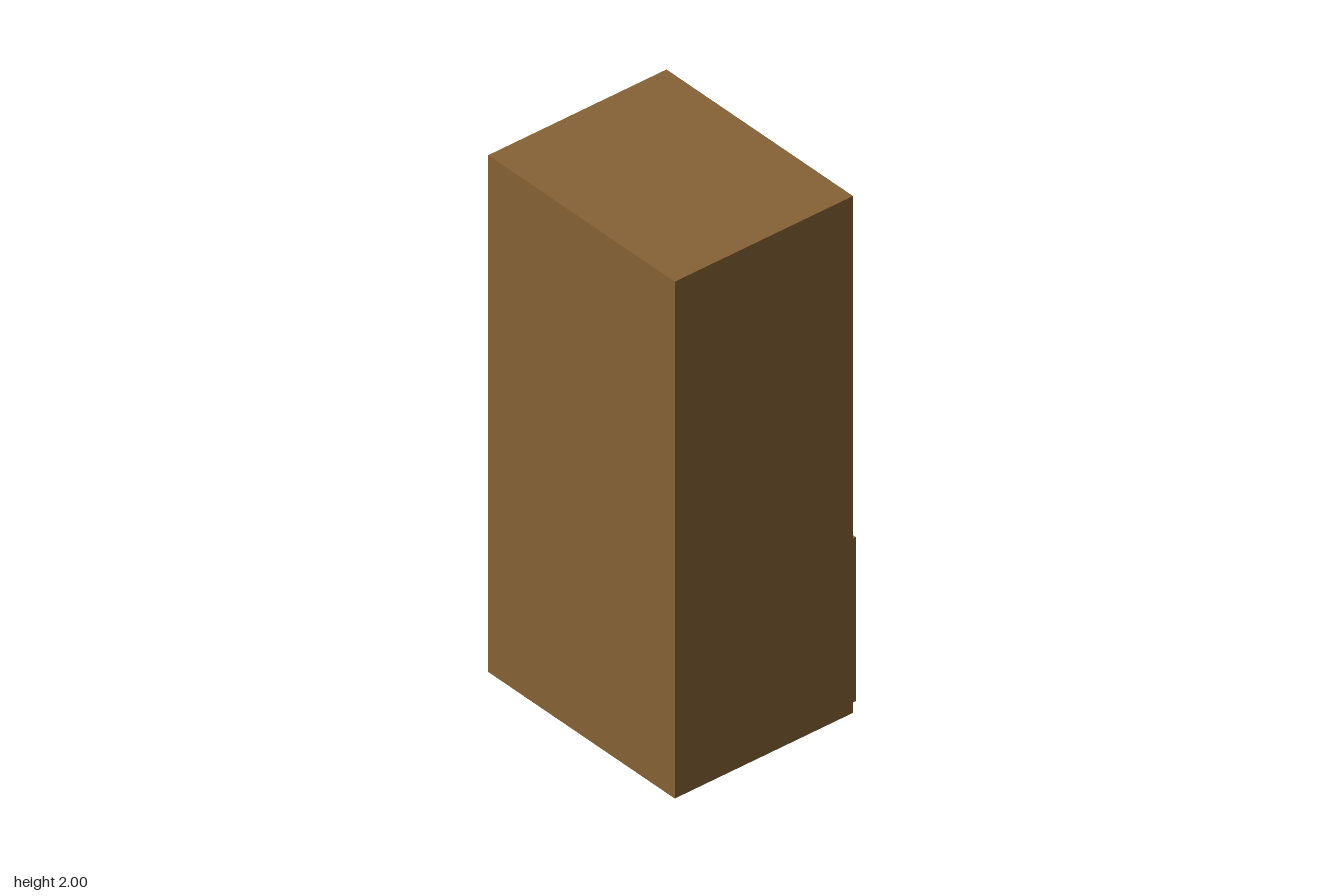
import * as THREE from 'three';

const material = (name, color) => {
  const m = new THREE.MeshStandardMaterial({ color });
  m.name = name;
  return m;
};

// Box given by its lower and upper limits on each axis
function slab(name, mat, [x0, x1], [y0, y1], [z0, z1]) {
  const mesh = new THREE.Mesh(new THREE.BoxGeometry(x1 - x0, y1 - y0, z1 - z0), mat);
  mesh.position.set((x0 + x1) / 2, (y0 + y1) / 2, (z0 + z1) / 2);
  mesh.name = name;
  return mesh;
}

export function createModel() {
  const wood = material('wood', 0x866236);
  const paper = material('paper', 0x93866a);
  const red = material('red cover', 0x973c3c);
  const green = material('green cover', 0x0c5f11);
  const purple = material('purple cover', 0x700c70);

  const model = new THREE.Group();
  model.name = 'bookcase';

  // Carcass, open towards +x
  const back = -0.385, front = 0.355, w = 0.46, t = 0.022;
  const inX = [back + t, front], inZ = [-w + t, w - t];
  model.add(
    slab('backPanel', wood, [back, back + t], [0, 2], [-w, w]),
    slab('sidePanel', wood, inX, [0, 2], [w - t, w]),
    slab('sidePanel', wood, inX, [0, 2], [-w, -w + t]),
    slab('topPanel', wood, inX, [1.985, 2], inZ),
    slab('bottomPanel', wood, inX, [0, 0.02], inZ),
    slab('lowerShelf', wood, inX, [0.655, 0.685], inZ),
    slab('upperShelf', wood, inX, [1.32, 1.35], inZ),
    slab('door', wood, [front, 0.385], [0.02, 0.655], [-0.437, 0.438])
  );

  // Book centred on its own origin; the spine faces out (+x) or in
  const depth = 0.4, bookFront = 0.36;
  function book(cover, width, height, board, spineOut) {
    const g = new THREE.Group();
    g.name = 'book';
    const d = depth / 2, h = height / 2, b = width / 2, inset = 0.01;
    const inner = [-b + board, b - board];
    const spineX = spineOut ? [d - board, d] : [-d, -d + board];
    const pageX = spineOut ? [-d + inset, d - board] : [-d + board, d - inset];
    g.add(
      slab('cover', cover, [-d, d], [-h, h], [b - board, b]),
      slab('cover', cover, [-d, d], [-h, h], [-b, -b + board]),
      slab('spine', cover, spineX, [-h, h], inner),
      slab('pages', paper, pageX, [-h + inset, h - inset], inner)
    );
    return g;
  }

  // Places on a shelf: z, centre height, lean, width, height, board thickness
  const places = [
    [0.371, 0.248, 0, 0.117, 0.495, 0.025],
    [0.254, 0.248, 0, 0.116, 0.495, 0.025],
    [0.139, 0.248, 0, 0.116, 0.495, 0.025],
    [0.0105, 0.191, 0.097, 0.117, 0.384, 0.02],
    [-0.119, 0.191, 0.193, 0.1, 0.373, 0.019],
  ];

  // Each row lists cover colour and whether the spine shows
  const rows = [
    { y: 1.335, books: [[red, false], [green, true], [purple, false], [green, true], [red, false]] },
    { y: 0.673, books: [[purple, false], [green, false], [red, true], [red, true], [purple, false]] },
  ];
  for (const row of rows) {
    row.books.forEach(([cover, spineOut], i) => {
      const [z, y, lean, width, height, board] = places[i];
      const b = book(cover, width, height, board, spineOut);
      b.position.set(bookFront - depth / 2, row.y + y, z);
      b.rotation.x = lean;
      model.add(b);
    });
  }
  return model;
}
